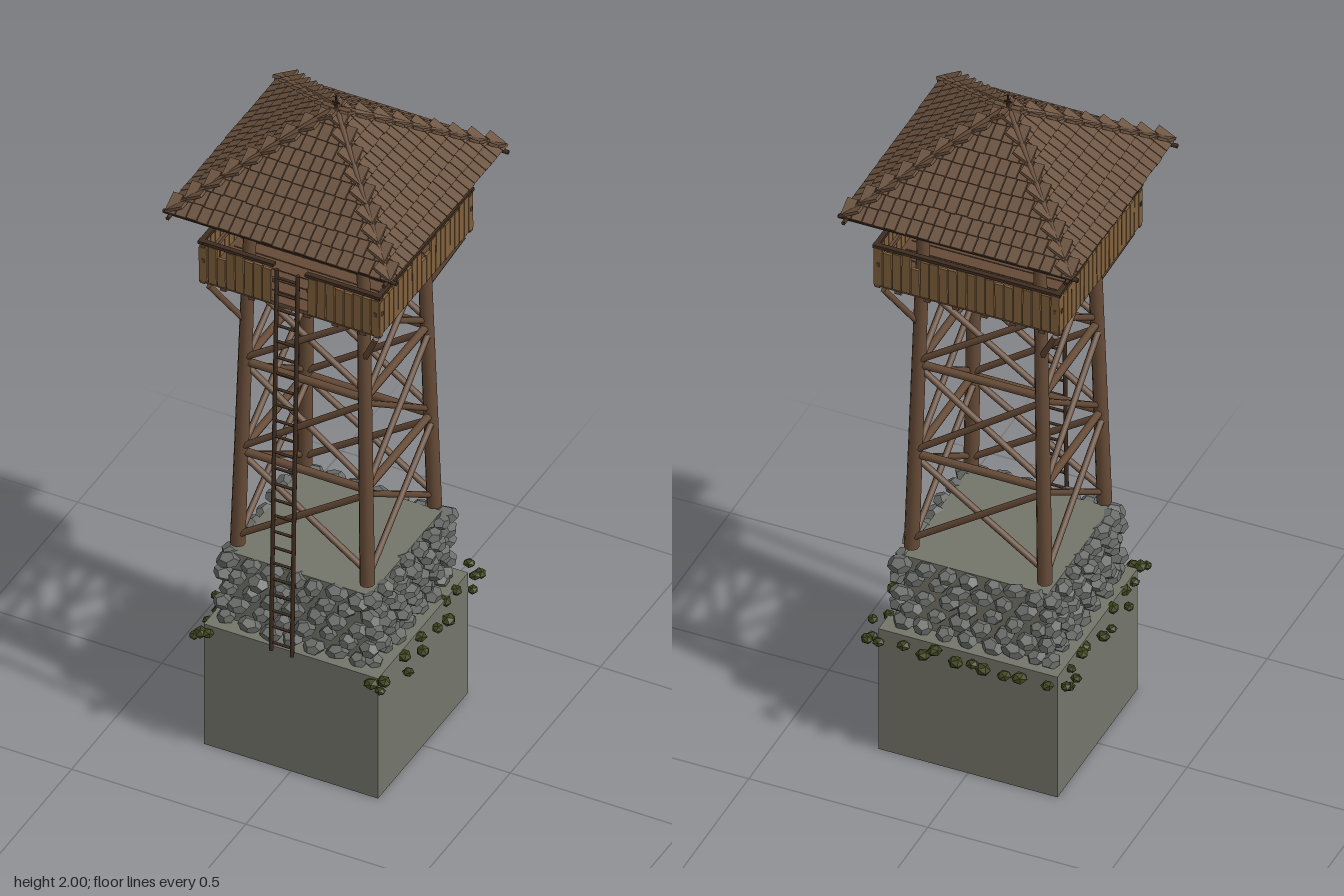
import * as THREE from 'three';

const mat = (name, color, extra = {}) => {
  const m = new THREE.MeshStandardMaterial({ color, ...extra });
  m.name = name;
  return m;
};
const V = (x, y, z) => new THREE.Vector3(x, y, z);

export function createModel() {
  const M = {
    base: mat('foundation grey', 0x74756a),
    stone: mat('stone grey', 0x686b68, { flatShading: true }),
    moss: mat('moss green', 0x3d441c, { flatShading: true }),
    timber: mat('timber brown', 0x664b37),
    plank: mat('plank tan', 0x80603c),
    dark: mat('dark wood', 0x3f2d20),
    roof: mat('shingle brown', 0x6b523f, { side: THREE.DoubleSide }),
    bell: mat('bell bronze', 0x8e6638),
  };
  const model = new THREE.Group();
  model.name = 'watchtower';

  let seed = 7;
  const rnd = () => (seed = (seed * 16807) % 2147483647) / 2147483647;
  const jit = (s) => (rnd() - 0.5) * s;

  const group = (name, parent = model) => {
    const g = new THREE.Group();
    g.name = name;
    parent.add(g);
    return g;
  };
  const add = (parent, name, geo, material, x = 0, y = 0, z = 0) => {
    const m = new THREE.Mesh(geo, material);
    m.name = name;
    m.position.set(x, y, z);
    parent.add(m);
    return m;
  };
  const box = (parent, name, w, h, d, material, x, y, z) =>
    add(parent, name, new THREE.BoxGeometry(w, h, d), material, x, y, z);
  // Round pole between two points
  const pole = (parent, name, a, b, r, material, rTop = r, sides = 8) => {
    const m = add(parent, name, new THREE.CylinderGeometry(rTop, r, a.distanceTo(b), sides), material);
    m.position.copy(a).add(b).multiplyScalar(0.5);
    m.quaternion.setFromUnitVectors(V(0, 1, 0), b.clone().sub(a).normalize());
    return m;
  };
  // The four sides: each group's local +z points outward (0 is the front)
  const sides = (name, fn) => {
    for (let s = 0; s < 4; s++) {
      const g = group(name);
      g.rotation.y = (s * Math.PI) / 2;
      fn(g, s);
    }
  };

  // Foundation and masonry core
  box(model, 'foundation', 0.5, 0.385, 0.5, M.base, 0, 0.1925, 0);
  box(model, 'masonryCore', 0.4, 0.22, 0.4, M.base, 0, 0.49, 0);

  // Rubble stones in courses
  const stoneGeo = new THREE.DodecahedronGeometry(1, 0);
  sides('stoneWall', (g) => {
    for (let row = 0; row < 5; row++) {
      for (let i = 0; i < 7; i++) {
        const x = -0.2 + (i + (row % 2) * 0.5) * 0.0625 + jit(0.012);
        const st = add(g, 'stone', stoneGeo, M.stone, x, 0.397 + row * 0.047 + jit(0.008), 0.212 + jit(0.012));
        st.scale.set(0.029 + jit(0.01), 0.021 + jit(0.005), 0.027 + jit(0.008));
        st.rotation.set(jit(0.4), jit(1), jit(0.4));
      }
    }
  });

  // Moss clumps around the ledge, clear of the ladder in front
  const mossGeo = new THREE.IcosahedronGeometry(1, 0);
  sides('moss', (g, s) => {
    for (let i = 0; i < 12; i++) {
      const x = -0.27 + i * 0.049 + jit(0.03);
      if (s === 0 && Math.abs(x) < 0.19) continue;
      const r = 0.013 + rnd() * 0.007;
      const m = add(g, 'mossClump', mossGeo, M.moss, x, 0.372 + jit(0.015), 0.27 + jit(0.05));
      m.scale.set(r * 1.15, r * 0.85, r);
      m.rotation.y = rnd() * 3;
    }
  });

  // Leaning corner legs and the struts that carry the deck
  const legAt = (y) => 0.186 - ((y - 0.625) / 1.1) * 0.026;
  const legs = group('legs');
  for (const sx of [-1, 1]) for (const sz of [-1, 1]) {
    const at = (y) => V(sx * legAt(y), y, sz * legAt(y));
    pole(legs, 'cornerLeg', at(0.625), at(1.74), 0.02, M.timber, 0.017, 10);
    pole(legs, 'deckStrut', at(1.33), V(sx * 0.24, 1.468, sz * 0.24), 0.009, M.timber, 0.009, 6);
  }

  // Girts and cross bracing
  sides('bracing', (g) => {
    for (const y of [0.92, 1.205, 1.462]) {
      const w = legAt(y) + 0.008;
      pole(g, 'girt', V(-w, y, legAt(y)), V(w, y, legAt(y)), 0.011, M.timber);
    }
    for (const [y0, y1] of [[0.655, 0.905], [0.935, 1.19], [1.22, 1.45]]) {
      for (const s of [-1, 1]) {
        pole(g, 'crossBrace', V(-s * legAt(y0), y0, legAt(y0) + s * 0.006),
          V(s * legAt(y1), y1, legAt(y1) + s * 0.006), 0.009, M.timber, 0.009, 6);
      }
    }
    pole(g, 'topPlate', V(-0.175, 1.728, 0.16), V(0.175, 1.728, 0.16), 0.011, M.timber);
  });

  // Deck of planks over joists
  const deck = group('deck');
  for (let i = 0; i < 13; i++) {
    box(deck, 'floorPlank', 0.5, 0.014, 0.036, M.timber, 0, 1.491, -0.234 + i * 0.039);
  }
  for (let i = 0; i < 6; i++) {
    box(deck, 'joist', 0.018, 0.02, 0.48, M.timber, -0.2 + i * 0.08, 1.474, 0);
  }

  // Plank railing, with an opening for the ladder in front
  sides('railing', (g, s) => {
    for (let i = 0; i < 20; i++) {
      const x = -0.247 + i * 0.026;
      if (s === 0 && Math.abs(x) < 0.042) continue;
      const h = 0.112 + jit(0.014) - (rnd() > 0.93 ? 0.03 : 0);
      box(g, 'railPlank', 0.023, h, 0.008, M.plank, x, 1.493 + h / 2, 0.256).rotation.z = jit(0.03);
    }
    const spans = s === 0 ? [[-0.262, -0.045], [0.045, 0.262]] : [[-0.262, 0.262]];
    for (const [a, b] of spans) {
      box(g, 'topRail', b - a, 0.009, 0.014, M.dark, (a + b) / 2, 1.615, 0.254);
      box(g, 'middleRail', b - a, 0.012, 0.008, M.timber, (a + b) / 2, 1.56, 0.247);
    }
    box(g, 'deckEdge', 0.52, 0.012, 0.014, M.timber, 0, 1.492, 0.249);
    box(g, 'railPost', 0.016, 0.125, 0.016, M.timber, 0.25, 1.555, 0.25);
  });

  // Ladder leaning against the front
  const ladder = group('ladder');
  const ladderZ = (y) => 0.302 - ((y - 0.415) / 1.2) * 0.032;
  for (const s of [-1, 1]) {
    pole(ladder, 'ladderRail', V(s * 0.03, 0.415, ladderZ(0.415)), V(s * 0.03, 1.615, ladderZ(1.615)), 0.006, M.dark);
  }
  for (let i = 0; i < 24; i++) {
    const y = 0.44 + i * 0.05;
    pole(ladder, 'rung', V(-0.032, y, ladderZ(y)), V(0.032, y, ladderZ(y)), 0.004, M.dark, 0.004, 6);
  }

  // Alarm bell hung at the front
  const bell = group('bell');
  bell.position.set(-0.085, 0, 0.16);
  const bellProfile = [[0.003, 1.714], [0.01, 1.71], [0.013, 1.698], [0.022, 1.688], [0.018, 1.688]]
    .reverse().map(([x, y]) => new THREE.Vector2(x, y));
  const bellMat = M.bell;
  bellMat.side = THREE.DoubleSide;
  add(bell, 'bellBody', new THREE.LatheGeometry(bellProfile, 12), bellMat);
  pole(bell, 'bellRope', V(0, 1.625, 0), V(0, 1.73, 0), 0.002, M.dark, 0.002, 5);

  // Pyramid roof: under-sheathing plus stepped shingle rows
  const slope = Math.atan(0.7);
  const roofY = (d) => 1.728 + (0.325 - d) * 0.7;
  const sheath = new THREE.ConeGeometry(0.315 * Math.SQRT2, 0.2205, 4, 1, true).toNonIndexed();
  sheath.computeVertexNormals();
  add(model, 'roofSheathing', sheath, M.roof, 0, 1.72 + 0.11025, 0).rotation.y = Math.PI / 4;

  sides('roofSide', (g) => {
    for (let row = 0; row < 9; row++) {
      const d = 0.325 - row * 0.0355;
      const n = Math.max(2, Math.round((2 * d) / 0.031));
      const w = (2 * d) / n;
      const tilt = slope - 0.1, len = 0.058;
      for (let i = 0; i < n; i++) {
        const l = len + jit(0.006);
        const sh = box(g, 'shingle', w - 0.0025, 0.008, l, M.roof, -d + (i + 0.5) * w,
          roofY(d) + 0.006 + (Math.sin(tilt) * len) / 2, d - (Math.cos(tilt) * len) / 2);
        sh.rotation.x = tilt;
      }
    }
    pole(g, 'hipPole', V(0.312, 1.736, 0.312), V(0.01, 1.955, 0.01), 0.008, M.timber, 0.008, 6);
    pole(g, 'eavePole', V(-0.335, 1.724, 0.31), V(0.335, 1.724, 0.31), 0.006, M.dark, 0.006, 6);
  });

  // Peak cap and finial
  const finial = group('finial');
  box(finial, 'capBeam', 0.07, 0.014, 0.014, M.timber, 0, 1.956, 0);
  box(finial, 'capBeam', 0.014, 0.014, 0.07, M.timber, 0, 1.956, 0);
  pole(finial, 'spike', V(0, 1.93, 0), V(0, 2, 0), 0.006, M.dark, 0.002, 6);
  box(finial, 'spikeArm', 0.022, 0.004, 0.004, M.dark, 0, 1.978, 0);
  box(finial, 'spikeArm', 0.004, 0.004, 0.022, M.dark, 0, 1.978, 0);

  return model;
}
